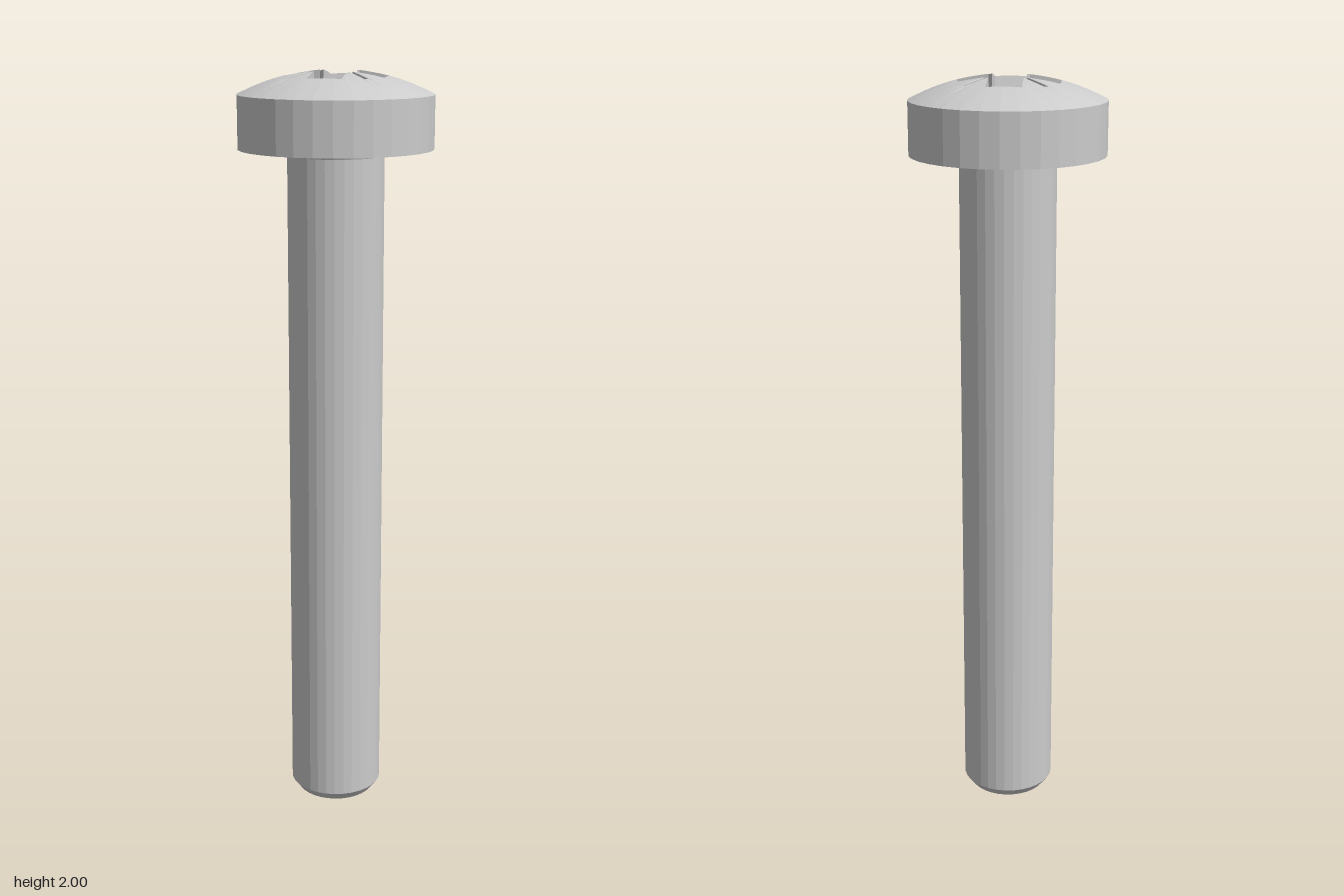
import * as THREE from 'three';

const SEG = 32, HEAD_R = 0.252, RIM_Y = 1.942, FLOOR_Y = 1.87;
const DOME_R = 0.54;
const domeY = (r) => 2.004 - DOME_R + Math.sqrt(DOME_R * DOME_R - r * r);

// One eighth of the cross recess: [rim x, z], [upper x, z], [lower x, z], [floor x, z].
// The last two columns are the narrow diagonal groove, whose bottom is shallow.
const OCTANT = [
  [[0.133, 0], [0.123, 0], [0.121, 0], [0.095, 0]],
  [[0.133, 0.0265], [0.123, 0.0255], [0.121, 0.025], [0.095, 0.022]],
  [[0.133, 0.044], [0.123, 0.043], [0.121, 0.043], [0.095, 0.04]],
  [[0.106, 0.044], [0.1, 0.043], [0.099, 0.043], [0.082, 0.04]],
  [[0.066, 0.044], [0.066, 0.043], [0.066, 0.043], [0.064, 0.04]],
  [[0.052, 0.044], [0.052, 0.044], [0.052, 0.044], [0.05, 0.042]],
  [[0.105, 0.097], [0.099, 0.091], [0.052, 0.044], [0.05, 0.042]],
  [[0.101, 0.101], [0.095, 0.095], [0.048, 0.048], [0.046, 0.046]],
];

// Mirror the octant into a quadrant and turn it four times
function recessColumns() {
  const flipped = OCTANT.slice(1, -1).reverse().map((c) => c.map(([x, z]) => [z, x]));
  const quadrant = [...OCTANT, ...flipped];
  const columns = [];
  for (let q = 0; q < 4; q++) {
    const c = [1, 0, -1, 0][q], s = [0, 1, 0, -1][q];
    for (const col of quadrant) columns.push(col.map(([x, z]) => [x * c - z * s, x * s + z * c]));
  }
  return columns;
}

// Join closed rings, listed from outside to inside, facing up
function loft(rings) {
  const n = rings[0].length;
  const index = [];
  for (let i = 0; i < rings.length - 1; i++) {
    for (let j = 0; j < n; j++) {
      const a = i * n + j, b = i * n + (j + 1) % n;
      index.push(a, a + n, b, b, a + n, b + n);
    }
  }
  const geometry = new THREE.BufferGeometry();
  geometry.setAttribute('position', new THREE.Float32BufferAttribute(rings.flat(2), 3));
  geometry.setIndex(index);
  geometry.computeVertexNormals();
  return geometry;
}

export function createModel() {
  const group = new THREE.Group();
  const material = new THREE.MeshStandardMaterial({ color: 0xcccccc, flatShading: true });
  const add = (name, geometry) => {
    const mesh = new THREE.Mesh(geometry, material);
    mesh.name = name;
    group.add(mesh);
  };
  const lathe = (points) =>
    new THREE.LatheGeometry(points.map(([r, y]) => new THREE.Vector2(r, y)), SEG);

  // Shank with chamfered tip and a small fillet under the head
  add('shank', lathe([[0, 0], [0.106, 0], [0.125, 0.025], [0.125, 1.79], [0.129, 1.8], [0.138, 1.806]]));

  // Underside and straight side of the head
  add('headSide', lathe([[0.138, 1.806], [HEAD_R, 1.806], [HEAD_R, RIM_Y]]));

  const columns = recessColumns();
  const rim = columns.map(([[x, z]]) => [x, domeY(Math.hypot(x, z)), z]);

  // Domed top, running from the polygonal edge in to the recess outline
  const step = (2 * Math.PI) / SEG;
  const edge = rim.map(([x, , z]) => {
    const angle = Math.atan2(z, x) + 2 * Math.PI;
    const r = HEAD_R * Math.cos(step / 2) / Math.cos((angle + 1e-7) % step - step / 2);
    return [r * Math.cos(angle), RIM_Y, r * Math.sin(angle)];
  });
  const domeRings = [edge];
  for (let i = 1; i < 7; i++) {
    domeRings.push(edge.map(([x, , z], j) => {
      const px = THREE.MathUtils.lerp(x, rim[j][0], i / 7);
      const pz = THREE.MathUtils.lerp(z, rim[j][2], i / 7);
      return [px, domeY(Math.hypot(px, pz)), pz];
    }));
  }
  domeRings.push(rim);
  add('headDome', loft(domeRings));

  // Recess walls, diagonal grooves and arm floors
  const ring = (k, y) => columns.map((c) => [c[k][0], y, c[k][1]]);
  const floor = ring(3, FLOOR_Y);
  const coneRim = floor.map(([x, y, z]) => {
    const r = Math.hypot(x, z), s = Math.min(1, 0.066 / r);
    return [x * s, y, z * s];
  });
  add('recessWalls', loft([rim, ring(1, 1.962), ring(2, 1.956), floor, coneRim]));

  // Shallow cone at the bottom of the recess
  add('recessCone', loft([coneRim, coneRim.map(() => [0, FLOOR_Y - 0.026, 0])]));

  return group;
}
